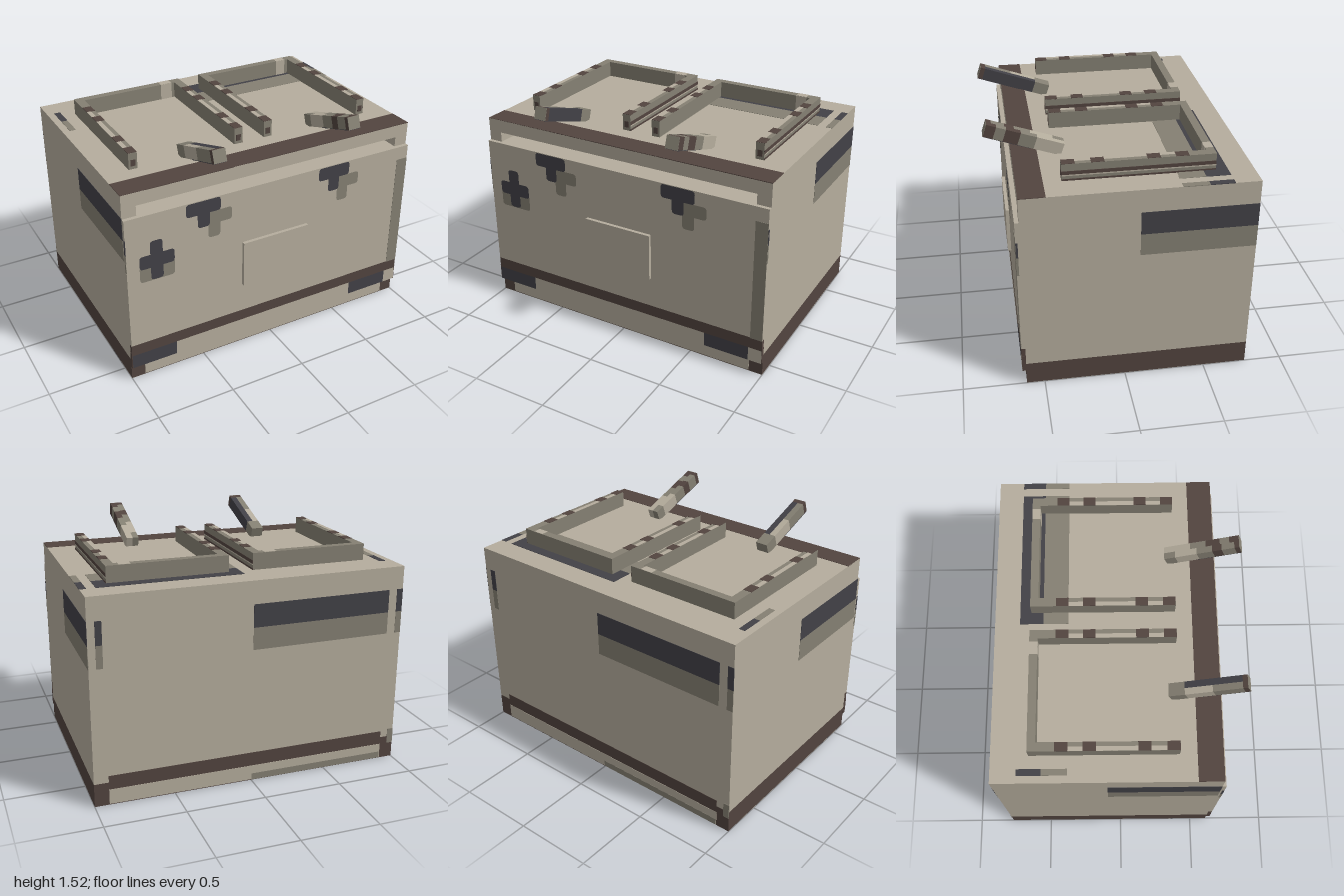
import * as THREE from 'three';

const mat = (name, color) => {
  const m = new THREE.MeshStandardMaterial({ color });
  m.name = name;
  return m;
};

export function createModel() {
  const tan = mat('tan', 0xb5ad9d);
  const grey = mat('olive grey', 0x858073);
  const dark = mat('charcoal', 0x424147);
  const brown = mat('brown', 0x52443f);
  const model = new THREE.Group();
  model.name = 'fieldCrate';

  // Box given by its limits on each axis
  const box = (name, m, [x0, x1], [y0, y1], [z0, z1], parent = model) => {
    const mesh = new THREE.Mesh(new THREE.BoxGeometry(x1 - x0, y1 - y0, z1 - z0), m);
    mesh.position.set((x0 + x1) / 2, (y0 + y1) / 2, (z0 + z1) / 2);
    mesh.name = name;
    parent.add(mesh);
    return mesh;
  };
  // Thin painted plate on a plane; a and b are limits on the other two axes, in xyz order
  const paint = (name, m, axis, at, a, b, lift = 0.002, parent = model) => {
    const lim = [at - lift, at + lift];
    const r = axis === 'x' ? [lim, a, b] : axis === 'y' ? [a, lim, b] : [a, b, lim];
    return box(name, m, ...r, parent);
  };

  // Main body: brown foot, tan case, and a slot under the lid
  const W = [-1, 1], BACK = -0.77, FRONT = 0.61;
  box('foot', brown, W, [0, 0.147], [BACK, FRONT]);
  box('case', tan, W, [0.147, 1.15], [BACK, FRONT]);
  box('lid', tan, W, [1.215, 1.3], [BACK, FRONT]);
  for (const s of [-1, 1]) {
    const x = s < 0 ? [-1, -0.91] : [0.91, 1];
    box('slotCheek', tan, x, [1.15, 1.215], [BACK, FRONT]);
  }
  box('slotBack', tan, [-0.91, 0.91], [1.15, 1.215], [BACK, -0.7]);

  // Foot details
  paint('frontFootInset', tan, 'z', FRONT, [-0.91, 0.91], [0.005, 0.1]);
  paint('backFootInset', tan, 'z', BACK, [-0.91, 0.91], [0.005, 0.1]);
  paint('backFootBand', brown, 'z', BACK, [-0.91, 0.91], [0.146, 0.19]);
  paint('backFootStripe', grey, 'z', BACK, [-0.905, 0], [0.003, 0.045], 0.003);
  paint('backFootMark', grey, 'z', BACK, [-1, -0.96], [0.1, 0.2], 0.003);
  paint('underside', tan, 'y', 0, W, [-0.62, FRONT], 0.001);

  // Two-tone camouflage stripes: dark strip with a grey one beside it
  paint('topFrontBand', brown, 'y', 1.3, W, [0.455, FRONT]);
  const spans = [[0, 0.905], [0.96, 1], [-0.955, -0.915]];
  for (const [a, b] of spans) {
    paint('topDarkStripe', dark, 'y', 1.3, [a, b], [-0.615, -0.47]);
    paint('topGreyStripe', grey, 'y', 1.3, [a, b], [-0.47, -0.315]);
    paint('backDarkStripe', dark, 'z', BACK, [-b, -a], [1.01, 1.155]);
    paint('backGreyStripe', grey, 'z', BACK, [-b, -a], [0.87, 1.01]);
  }
  for (const [a, b] of [[0, 0.905], [-1, -0.96], [0.915, 0.955]]) {
    paint('bottomDarkStripe', dark, 'y', 0, [a, b], [0.305, 0.45]);
    paint('bottomGreyStripe', grey, 'y', 0, [a, b], [0.17, 0.305]);
  }
  for (const [x, z] of [[1, [BACK, -0.08]], [-1, [-0.08, FRONT]]]) {
    paint('sideDarkStripe', dark, 'x', x, [1.01, 1.155], z);
    paint('sideGreyStripe', grey, 'x', x, [0.87, 1.01], z);
  }

  // Front panel, stacked in colour bands
  const PZ = [FRONT, 0.635], PF = 0.635;
  box('frontPanel', tan, W, [0.265, 1.15], PZ);
  box('panelBand', brown, W, [0.19, 0.265], PZ);
  [[-1, -0.7, dark], [-0.7, 0.61, tan], [0.61, 0.91, dark], [0.91, 1, tan]].forEach(([a, b, m]) =>
    box('panelSkirt', m, [a, b], [0.097, 0.19], PZ));
  box('namePlate', tan, [-0.235, 0.23], [0.47, 0.78], [PF, 0.657]);
  paint('panelEdgeStripe', grey, 'z', PF, [0.92, 1], [0.262, 1.06]);
  for (const x of [-1, 1]) {
    paint('panelSideFoot', brown, 'x', x, [0.097, 0.21], PZ);
    paint('panelSideDark', dark, 'x', x, [0.92, 1.02], [0.622, PF]);
    paint('panelSideGrey', grey, 'x', x, [0.8, 0.92], [0.622, PF]);
  }

  // Rounded camouflage blots on the panel
  const blot = (name, m, x0, x1, y0, y1, lift) => {
    const r = 0.022, s = new THREE.Shape();
    s.moveTo(x0 + r, y0);
    s.lineTo(x1 - r, y0).quadraticCurveTo(x1, y0, x1, y0 + r);
    s.lineTo(x1, y1 - r).quadraticCurveTo(x1, y1, x1 - r, y1);
    s.lineTo(x0 + r, y1).quadraticCurveTo(x0, y1, x0, y1 - r);
    s.lineTo(x0, y0 + r).quadraticCurveTo(x0, y0, x0 + r, y0);
    const mesh = new THREE.Mesh(new THREE.ShapeGeometry(s, 4), m);
    mesh.position.z = PF + lift;
    mesh.name = name;
    model.add(mesh);
  };
  blot('crossShade', grey, -0.92, -0.695, 0.705, 0.82, 0.002);
  blot('crossArm', dark, -0.92, -0.695, 0.795, 0.885, 0.004);
  blot('crossPost', dark, -0.85, -0.77, 0.71, 0.975, 0.005);
  for (const x of [-0.615, 0.305]) {
    blot('blotShadeArm', grey, x + 0.13, x + 0.305, 0.975, 1.06, 0.002);
    blot('blotShadePost', grey, x + 0.145, x + 0.225, 0.885, 1.06, 0.003);
    blot('blotPost', dark, x + 0.075, x + 0.155, 0.97, 1.1, 0.004);
    blot('blotArm', dark, x, x + 0.228, 1.06, 1.148, 0.005);
  }

  // U-shaped rails passing down through the lid
  const T = 0.055, RY = [1.152, 1.405], RT = 1.405;
  const rail = (name, x0, x1, lightX) => {
    const g = new THREE.Group();
    g.name = name;
    model.add(g);
    box('railBack', grey, [x0, x1], RY, [-0.545, -0.495], g);
    paint('railBackPatchTop', tan, 'y', RT, lightX, [-0.545, -0.495], 0.002, g);
    paint('railBackPatchFront', tan, 'z', -0.495, lightX, RY, 0.002, g);
    for (const a of [x0, x1 - T]) {
      const x = [a, a + T];
      box('railArm', grey, x, RY, [-0.495, 0.35], g);
      for (const z of [-0.385, -0.22, 0.103, 0.272])
        paint('railBand', brown, 'y', RT, x, [z, z + 0.077], 0.002, g);
      for (const [z0, z1] of [[-0.308, -0.22], [-0.143, 0.103], [0.18, 0.272]])
        paint('railLightStrip', tan, 'y', RT, [a, a + T / 2], [z0, z1], 0.002, g);
      paint('railEndPatch', brown, 'z', 0.35, [a + 0.012, a + T - 0.012], [1.32, 1.36], 0.002, g);
    }
    paint('railSideLine', brown, 'x', x1, [1.338, 1.36], [-0.545, 0.35], 0.002, g);
    paint('railSideLight', tan, 'x', x1, [1.33, 1.338], [-0.545, 0.35], 0.002, g);
    paint('railSideFoot', brown, 'x', x1, [1.3, 1.311], [-0.545, 0.35], 0.002, g);
  };
  rail('rightRail', -0.835, -0.08, [-0.235, -0.155]);
  rail('leftRail', 0.075, 0.83, [0.68, 0.75]);

  // Tilted levers, each half striped along its length
  const lever = (name, x, halves) => {
    const g = new THREE.Group();
    g.name = name;
    g.position.set(x, 1.403, 0.53);
    g.rotation.x = -0.333;
    halves.forEach((segs, i) => {
      let z = -0.24;
      for (const [len, m] of segs) {
        box('leverSegment', m, i ? [0, 0.041] : [-0.041, 0], [-0.039, 0.039], [z, z + len], g);
        z += len;
      }
    });
    paint('leverUnderside', dark, 'y', -0.039, [-0.041, 0.041], [-0.05, 0.24], 0.002, g);
    paint('leverTip', grey, 'z', 0.24, [-0.041, 0.041], [-0.039, 0.039], 0.002, g);
    model.add(g);
  };
  lever('rightLever', -0.457, [
    [[0.1, grey], [0.17, tan], [0.18, grey], [0.03, brown]],
    [[0.1, grey], [0.35, dark], [0.03, brown]],
  ]);
  lever('leftLever', 0.45, [
    [[0.07, grey], [0.14, tan], [0.1, grey], [0.06, brown], [0.08, grey], [0.03, brown]],
    [[0.17, tan], [0.1, grey], [0.09, brown], [0.06, grey], [0.06, brown]],
  ]);

  return model;
}
